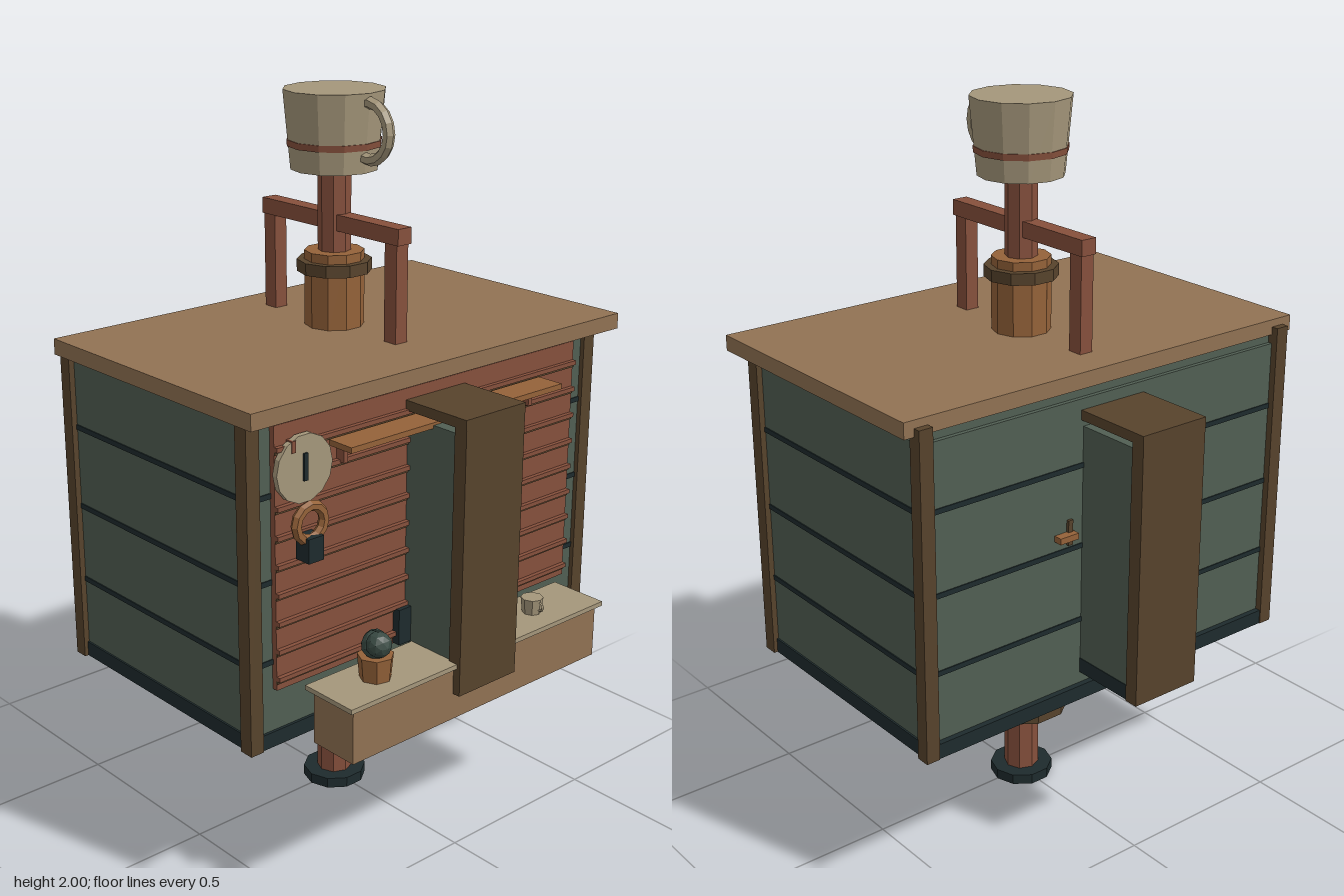
import * as THREE from 'three';

const colours = {
  green: 0x515f53, navy: 0x1e2b2d, brown: 0x57432c, tan: 0x917253, red: 0x86503c,
  orange: 0x946239, cream: 0xa5977b, leaf: 0x394a43,
};

export function createModel() {
  const model = new THREE.Group();
  const mats = {};
  for (const [name, color] of Object.entries(colours)) {
    mats[name] = new THREE.MeshStandardMaterial({ color, flatShading: true });
    mats[name].name = name;
  }

  const add = (name, geometry, mat, x = 0, y = 0, z = 0) => {
    const mesh = new THREE.Mesh(geometry, mats[mat]);
    mesh.name = name;
    mesh.position.set(x, y, z);
    model.add(mesh);
    return mesh;
  };
  // Box given by its extents on each axis
  const box = (name, mat, x0, x1, y0, y1, z0, z1) =>
    add(name, new THREE.BoxGeometry(x1 - x0, y1 - y0, z1 - z0), mat,
      (x0 + x1) / 2, (y0 + y1) / 2, (z0 + z1) / 2);
  // Upright prism from y0 to y1
  const prism = (name, mat, rTop, rBottom, y0, y1, sides, x = 0, z = 0) =>
    add(name, new THREE.CylinderGeometry(rTop, rBottom, y1 - y0, sides), mat, x, (y0 + y1) / 2, z);

  // Central post below the cabin
  prism('foot', 'navy', 0.09, 0.09, 0, 0.03, 10);
  prism('lowerPole', 'red', 0.05, 0.05, 0.03, 0.24, 8);
  prism('lowerCollar', 'brown', 0.137, 0.137, 0.23, 0.26, 10);
  prism('lowerColumn', 'orange', 0.085, 0.085, 0.26, 0.46, 10);

  // Cabin
  box('cabinBase', 'navy', -0.388, 0.38, 0.456, 0.498, -0.605, 0.605);
  box('cabinWalls', 'green', -0.372, 0.372, 0.498, 1.31, -0.6, 0.6);
  box('wallHead', 'green', -0.36, 0.365, 1.31, 1.336, -0.59, 0.59);
  for (const y of [0.69, 0.905, 1.13])
    box('boardGroove', 'navy', -0.375, 0.375, y - 0.007, y + 0.007, -0.603, 0.603);
  for (const z of [-0.596, 0.596]) {
    box('leftCornerPost', 'brown', -0.391, -0.352, 0.456, 1.357, z - 0.02, z + 0.02);
    box('rightCornerPost', 'brown', 0.343, 0.385, 0.456, 1.357, z - 0.02, z + 0.02);
  }
  box('roof', 'tan', -0.371, 0.442, 1.335, 1.378, -0.645, 0.645);

  // Slatted shutter on the counter side
  box('shutter', 'red', 0.37, 0.388, 0.615, 1.31, -0.528, 0.534);
  for (let i = 0; i < 9; i++) {
    const y = 0.647 + i * 0.0755;
    box('shutterRib', 'red', 0.385, 0.4, y - 0.006, y + 0.006, -0.528, 0.534);
    box('shutterGap', 'brown', 0.385, 0.392, y - 0.014, y - 0.006, -0.528, 0.534);
  }

  // Projecting side cabinets
  for (const s of [-1, 1]) {
    const part = (name, mat, a, b, y0, y1, w) =>
      box(name, mat, Math.min(s * a, s * b), Math.max(s * a, s * b), y0, y1, -w, w);
    part('sideCabinet', 'green', 0.37, 0.562, 0.57, 1.235, 0.098);
    part('sideCabinetBase', 'navy', 0.37, 0.562, 0.53, 0.572, 0.1);
    part('sideCabinetLid', 'brown', 0.37, 0.6, 1.253, 1.28, 0.105);
    part('sideCabinetFront', 'brown', 0.56, 0.6, 0.53, 1.27, 0.104);
  }
  box('doorHandle', 'orange', -0.397, -0.37, 0.94, 0.957, -0.19, -0.13);
  box('doorHandlePlate', 'brown', -0.38, -0.37, 0.92, 0.99, -0.15, -0.135);

  // Counter
  box('counterFront', 'tan', 0.43, 0.577, 0.456, 0.605, -0.45, 0.45);
  box('counterTop', 'cream', 0.416, 0.589, 0.605, 0.618, -0.466, 0.466);
  box('counterBox', 'navy', 0.385, 0.412, 0.618, 0.718, -0.137, 0.14);

  // Shelf with brackets
  box('shelf', 'orange', 0.4, 0.481, 1.227, 1.242, -0.378, 0.372);
  for (const z of [-0.33, 0.33])
    box('shelfBracket', 'red', 0.385, 0.415, 1.175, 1.23, z - 0.007, z + 0.007);

  // Round dial with a hand, and the ring and block beneath it
  const dial = add('dial', new THREE.CylinderGeometry(0.088, 0.088, 0.016, 14), 'cream', 0.4, 1.19, 0.455);
  dial.rotation.z = -Math.PI / 2;
  box('dialHand', 'navy', 0.407, 0.413, 1.16, 1.23, 0.449, 0.461);
  box('dialPeg', 'red', 0.385, 0.411, 1.238, 1.268, 0.485, 0.497);
  const ring = add('hangingRing', new THREE.TorusGeometry(0.044, 0.014, 6, 12), 'orange', 0.425, 1.056, 0.455);
  ring.rotation.y = Math.PI / 2;
  box('hangingBlock', 'navy', 0.4, 0.448, 0.96, 1.024, 0.43, 0.479);

  // Potted plant
  prism('plantPot', 'orange', 0.048, 0.042, 0.618, 0.682, 7, 0.5, 0.305);
  for (const [x, y, z, r] of [[0.475, 0.7, 0.282, 0.033], [0.5, 0.708, 0.305, 0.038], [0.525, 0.722, 0.318, 0.034]])
    add('plantLeaves', new THREE.IcosahedronGeometry(r, 1), 'leaf', x, y, z);

  // Small cup on the counter
  prism('smallCup', 'cream', 0.031, 0.026, 0.618, 0.662, 8, 0.503, -0.272);
  add('smallCupHandle', new THREE.TorusGeometry(0.012, 0.004, 4, 8), 'cream', 0.531, 0.642, -0.272);

  // Roof frame
  for (const x of [-0.243, 0.237])
    box('frameLeg', 'red', x - 0.022, x + 0.022, 1.37, 1.64, -0.02, 0.02);
  box('frameBeam', 'red', -0.27, 0.267, 1.637, 1.68, -0.023, 0.023);

  // Post above the roof
  prism('upperColumn', 'orange', 0.08, 0.08, 1.37, 1.58, 10);
  prism('upperCollar', 'brown', 0.1, 0.1, 1.524, 1.556, 10);
  prism('upperPole', 'red', 0.044, 0.044, 1.58, 1.8, 8);

  // Large mug on top
  prism('mug', 'cream', 0.135, 0.116, 1.795, 2, 12);
  prism('mugBand', 'red', 0.126, 0.1245, 1.855, 1.872, 12);
  const handle = add('mugHandle', new THREE.TorusGeometry(0.072, 0.016, 6, 10, Math.PI * 1.2), 'cream', 0.133, 1.905, 0);
  handle.rotation.z = -Math.PI * 0.6;

  return model;
}
